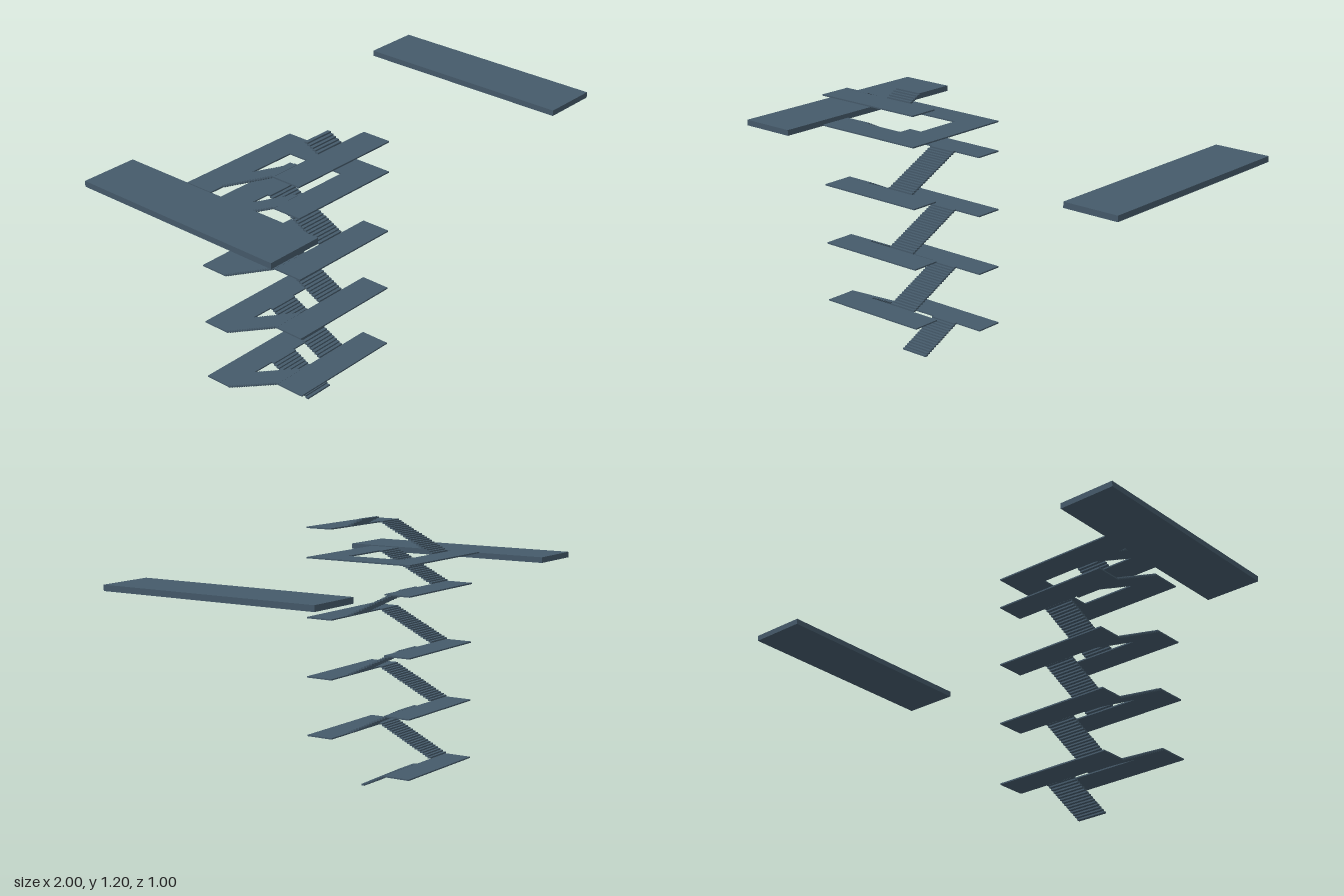
import * as THREE from 'three';

const STEPS = 20;
const RISE = 0.00664;
const FRONT_Z = 0.219, BACK_Z = -0.055; // inner edges of the landings
const GOING = (FRONT_Z - BACK_Z) / STEPS;
const THICK = 0.007;
const BASE = 0.0963; // height of the first landing

export function createModel() {
  const model = new THREE.Group();
  const material = new THREE.MeshStandardMaterial({ color: 0x455a6a, flatShading: true });

  // Box given by its extents
  function box(parent, name, x0, x1, y0, y1, z0, z1) {
    const mesh = new THREE.Mesh(new THREE.BoxGeometry(x1 - x0, y1 - y0, z1 - z0), material);
    mesh.position.set((x0 + x1) / 2, (y0 + y1) / 2, (z0 + z1) / 2);
    mesh.name = name;
    parent.add(mesh);
  }

  const level = (k) => BASE + k * STEPS * RISE;

  // Steps from..to of a flight that starts at height y and climbs frontwards or backwards
  function flight(name, y, frontwards, from = 0, to = STEPS) {
    const group = new THREE.Group();
    group.name = name;
    const [x0, x1] = frontwards ? [-0.685, -0.55] : [-0.432, -0.296];
    for (let i = from; i < to; i++) {
      const a = frontwards ? BACK_Z + i * GOING : FRONT_Z - (i + 1) * GOING;
      const c = y + (i + 1) * RISE;
      box(group, 'step', x0, x1, c - THICK / 2, c + THICK / 2, a - 0.001, a + GOING + 0.001);
    }
    model.add(group);
  }

  function landing(y, front) {
    const [z0, z1] = front ? [FRONT_Z, 0.35] : [-0.183, BACK_Z];
    box(model, front ? 'frontLanding' : 'backLanding', -0.685, -0.16, y - 0.003, y + 0.003, z0, z1);
  }

  // Two long platforms on either side
  box(model, 'rightPlatform', -1, -0.746, 1, 1.025, -0.5, 0.5);
  box(model, 'leftPlatform', 0.746, 1, 1, 1.025, -0.5, 0.5);

  // Switchback stair: short first flight, then alternating full flights
  flight('firstFlight', level(-1), false, 5);
  for (let k = 0; k < 7; k++) {
    landing(level(k), k % 2 === 1);
    flight('flight', level(k), k % 2 === 0);
  }

  // U-shaped gallery linking the stair to the right platform
  const outline = [
    [-0.75, -0.183], [-0.16, -0.183], [-0.16, 0.35], [-0.685, 0.35],
    [-0.685, FRONT_Z], [-0.296, FRONT_Z], [-0.296, BACK_Z], [-0.75, BACK_Z],
  ].map(([x, z]) => new THREE.Vector2(x, -z));
  const galleryGeo = new THREE.ExtrudeGeometry(new THREE.Shape(outline), { depth: 0.006, bevelEnabled: false });
  galleryGeo.rotateX(-Math.PI / 2);
  const gallery = new THREE.Mesh(galleryGeo, material);
  gallery.name = 'gallery';
  gallery.position.y = level(7) - 0.003;
  model.add(gallery);

  // Flight above the gallery, top landing and the cut-off last flight
  flight('upperFlight', level(7), true);
  landing(level(8), true);
  flight('lastFlight', level(8), false, 0, 5);

  return model;
}
